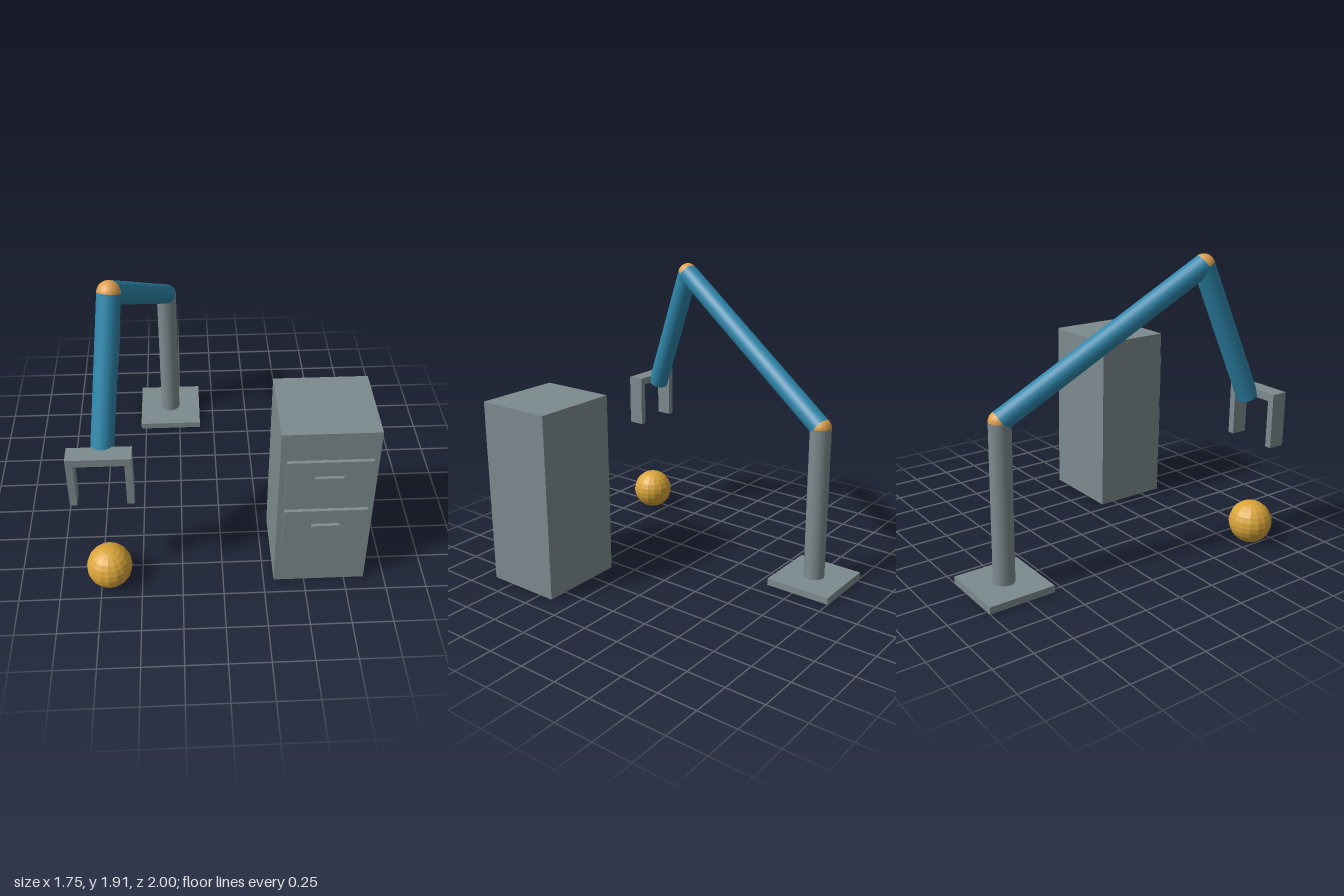
import * as THREE from 'three';

const material = (name, color, extra = {}) => {
  const m = new THREE.MeshStandardMaterial({ color, ...extra });
  m.name = name;
  return m;
};

export function createModel() {
  const model = new THREE.Group();
  model.name = 'robotArmScene';
  const grey = material('steelGrey', 0x7d8b8f);
  const blue = material('armBlue', 0x2e86ab);
  const orange = material('jointOrange', 0xe09f4e);
  const gold = material('ballGold', 0xd9a53a, { flatShading: true });
  const R = 0.067; // shared radius of post, arm links and joints

  const add = (parent, name, geometry, mat, x, y, z) => {
    const mesh = new THREE.Mesh(geometry, mat);
    mesh.name = name;
    mesh.position.set(x, y, z);
    parent.add(mesh);
    return mesh;
  };
  // Box given by its minimum and maximum corners
  const box = (parent, name, a, b) => add(parent, name,
    new THREE.BoxGeometry(b[0] - a[0], b[1] - a[1], b[2] - a[2]), grey,
    (a[0] + b[0]) / 2, (a[1] + b[1]) / 2, (a[2] + b[2]) / 2);
  // Round link running from one point to another
  const link = (parent, name, from, to, mats) => {
    const dir = to.clone().sub(from);
    const mid = from.clone().add(to).multiplyScalar(0.5);
    const mesh = add(parent, name,
      new THREE.CylinderGeometry(R, R, dir.length(), 24), mats, mid.x, mid.y, mid.z);
    mesh.quaternion.setFromUnitVectors(new THREE.Vector3(0, 1, 0), dir.normalize());
  };
  const group = (name) => {
    const g = new THREE.Group();
    g.name = name;
    model.add(g);
    return g;
  };

  // Arm: base plate, post, two links and their ball joints
  const arm = group('arm');
  const foot = new THREE.Vector3(-0.317, 0.04, -0.781);
  const shoulder = new THREE.Vector3(-0.317, 1.045, -0.781);
  const elbow = new THREE.Vector3(-0.6, 1.847, 0.448);
  const wrist = new THREE.Vector3(-0.681, 1.003, 0.785);
  box(arm, 'basePlate', [-0.535, 0, -1], [-0.1, 0.045, -0.565]);
  link(arm, 'post', foot, shoulder, grey);
  link(arm, 'upperArm', shoulder, elbow, blue);
  link(arm, 'forearm', elbow, wrist, [blue, blue, grey]);
  for (const [name, p] of [['shoulderJoint', shoulder], ['elbowJoint', elbow]]) {
    add(arm, name, new THREE.SphereGeometry(R, 20, 14), orange, p.x, p.y, p.z);
  }

  // Gripper: crossbar with a finger at each end
  const gripper = group('gripper');
  box(gripper, 'gripperBar', [-0.878, 1.01, 0.806], [-0.51, 1.06, 0.912]);
  box(gripper, 'rightFinger', [-0.878, 0.716, 0.806], [-0.836, 1.01, 0.912]);
  box(gripper, 'leftFinger', [-0.552, 0.716, 0.806], [-0.51, 1.01, 0.912]);

  // Ball below the gripper
  add(model, 'ball', new THREE.SphereGeometry(0.139, 16, 12), gold, -0.695, 0.139, 0.861);

  // Cabinet with two drawer fronts and handles
  const cabinet = group('cabinet');
  box(cabinet, 'cabinetBody', [0.313, 0, 0.399], [0.873, 1.193, 0.904]);
  for (const [i, y] of [0.864, 0.482].entries()) {
    box(cabinet, 'drawerFront' + (i + 1), [0.348, y - 0.149, 0.917], [0.838, y + 0.149, 0.938]);
    box(cabinet, 'drawerHandle' + (i + 1), [0.51, y + 0.023, 0.938], [0.675, y + 0.045, 0.958]);
  }
  return model;
}
